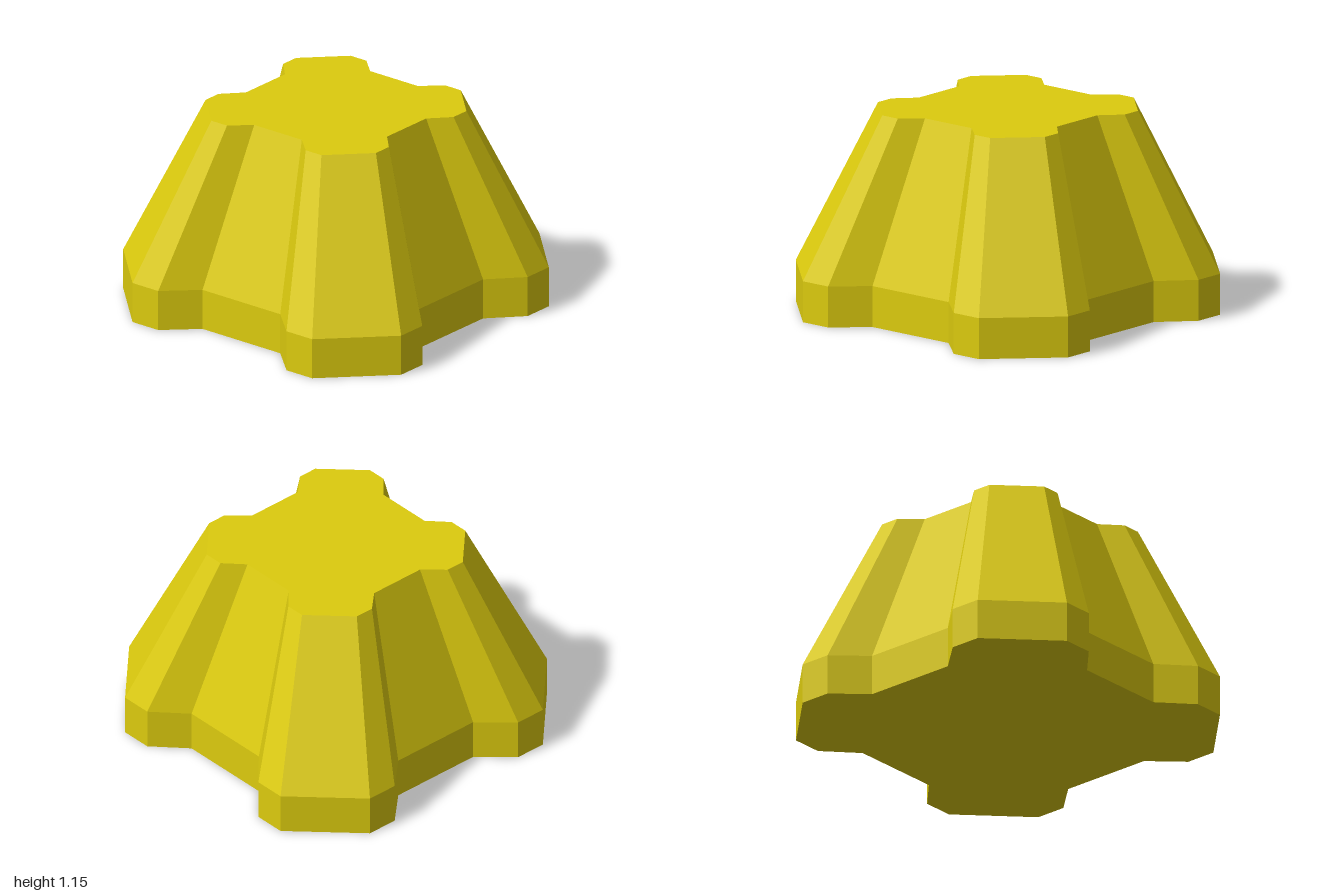
import * as THREE from 'three';

// One lobed corner of the outline as [x, z]; four quarter turns complete it.
const CORNER = [[0.83, 0.28], [1, 0.46], [1, 0.645], [0.65, 1], [0.465, 1], [0.28, 0.83]];
// Levels from the ground up: [height, outline scale].
const LEVELS = [[0, 1], [0.235, 1], [1.155, 0.613]];

function makeOutline() {
  const points = [];
  let corner = CORNER;
  for (let turn = 0; turn < 4; turn++) {
    points.push(...corner);
    corner = corner.map(([x, z]) => [-z, x]);
  }
  return points;
}

// Flat-faced side walls between two neighbouring levels.
function wallGeometry(outline, [y0, s0], [y1, s1]) {
  const pos = [];
  outline.forEach(([ax, az], i) => {
    const [bx, bz] = outline[(i + 1) % outline.length];
    const a = [ax * s0, y0, az * s0], b = [bx * s0, y0, bz * s0];
    const c = [ax * s1, y1, az * s1], d = [bx * s1, y1, bz * s1];
    pos.push(...a, ...c, ...d, ...a, ...d, ...b);
  });
  return toGeometry(pos);
}

// Flat cap fanned from the centre, facing up or down.
function capGeometry(outline, [y, s], up) {
  const pos = [];
  outline.forEach(([ax, az], i) => {
    const [bx, bz] = outline[(i + 1) % outline.length];
    const a = [ax * s, y, az * s], b = [bx * s, y, bz * s];
    pos.push(0, y, 0, ...(up ? [...b, ...a] : [...a, ...b]));
  });
  return toGeometry(pos);
}

function toGeometry(pos) {
  const geometry = new THREE.BufferGeometry();
  geometry.setAttribute('position', new THREE.Float32BufferAttribute(pos, 3));
  geometry.computeVertexNormals();
  return geometry;
}

export function createModel() {
  const group = new THREE.Group();
  group.name = 'lobedPedestal';
  const yellow = new THREE.MeshStandardMaterial({ color: 0xdccb0e });
  yellow.name = 'yellow';

  const add = (name, geometry) => {
    const mesh = new THREE.Mesh(geometry, yellow);
    mesh.name = name;
    group.add(mesh);
  };

  const outline = makeOutline();
  add('underside', capGeometry(outline, LEVELS[0], false));
  add('baseBand', wallGeometry(outline, LEVELS[0], LEVELS[1]));
  add('taperedBody', wallGeometry(outline, LEVELS[1], LEVELS[2]));
  add('topFace', capGeometry(outline, LEVELS[2], true));
  return group;
}
